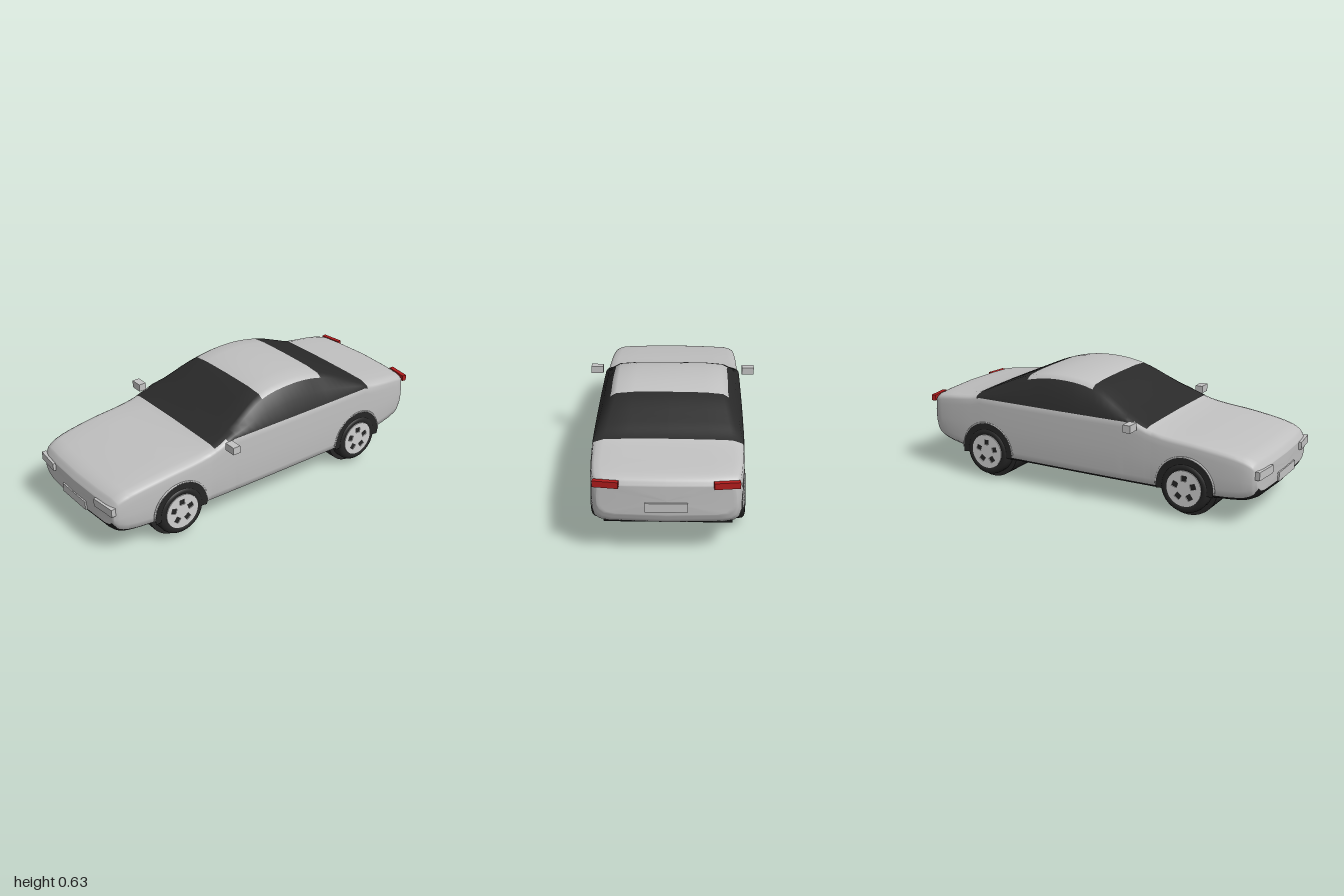
import * as THREE from 'three';

const mat = (name, color, extra = {}) => {
  const m = new THREE.MeshStandardMaterial({ color, ...extra });
  m.name = name;
  return m;
};

// Body stations: z, top height, half width, bottom height
const STATIONS = [
  [-0.99, 0.395, 0.325, 0.24], [-0.975, 0.42, 0.342, 0.205], [-0.93, 0.437, 0.355, 0.175],
  [-0.77, 0.458, 0.368, 0.145], [-0.66, 0.478, 0.372, 0.125], [-0.557, 0.524, 0.374, 0.115],
  [-0.37, 0.6, 0.376, 0.115], [-0.18, 0.626, 0.377, 0.115], [0.03, 0.6, 0.377, 0.115],
  [0.247, 0.492, 0.376, 0.115], [0.41, 0.428, 0.374, 0.115], [0.675, 0.396, 0.37, 0.115],
  [0.89, 0.362, 0.357, 0.125], [0.96, 0.335, 0.345, 0.145], [0.985, 0.3, 0.33, 0.18],
];

// Smooth curve through column c of the stations
function sample(z, c) {
  const P = STATIONS, last = P.length - 1;
  let i = 0;
  while (i < last - 1 && z > P[i + 1][0]) i++;
  const slope = (k) => {
    const a = P[Math.max(k - 1, 0)], b = P[Math.min(k + 1, last)];
    return (b[c] - a[c]) / (b[0] - a[0]);
  };
  const h = P[i + 1][0] - P[i][0], t = (z - P[i][0]) / h, t2 = t * t, t3 = t2 * t;
  return (2 * t3 - 3 * t2 + 1) * P[i][c] + (t3 - 2 * t2 + t) * h * slope(i)
    + (3 * t2 - 2 * t3) * P[i + 1][c] + (t3 - t2) * h * slope(i + 1);
}

// Half cross-section, from bottom centre up the +x side to top centre
function section(z) {
  const T = sample(z, 1), W = sample(z, 2), B = sample(z, 3);
  const k = THREE.MathUtils.clamp((T - 0.45) / 0.16, 0, 1);
  const belt = Math.min(0.45, T - 0.035), H = belt - B;
  const E = W - 0.02 - 0.06 * k, edge = T - 0.012 - 0.018 * k;
  return [
    [0, B], [W - 0.08, B], [W - 0.035, B + 0.007], [W - 0.012, B + 0.025],
    [W - 0.002, B + Math.min(0.06, 0.35 * H)], [W, B + 0.55 * H],
    [W, belt - Math.min(0.03, 0.25 * H)], [W - 0.004, belt],
    [(W + E) / 2 + 0.004, (belt + edge) / 2 + 0.003], [E, edge],
    [E - 0.03, T - 0.004 - 0.007 * k], [E * 0.6, T - 0.002], [0, T],
  ];
}

function bodyGeometry() {
  const breaks = [...STATIONS.map((s) => s[0]), 0.375, 0.3].sort((a, b) => a - b);
  const zs = [];
  for (let i = 0; i < breaks.length - 1; i++)
    for (let s = 0; s < 5; s++) zs.push(THREE.MathUtils.lerp(breaks[i], breaks[i + 1], s / 5));
  zs.push(breaks[breaks.length - 1]);

  const ringAt = (z, scale = 1) => {
    const half = section(z);
    const mirror = half.slice(1, -1).reverse().map(([x, y]) => [-x, y]);
    const cy = (half[0][1] + half[half.length - 1][1]) / 2;
    return half.concat(mirror).map(([x, y]) => {
      const px = x * scale;
      // bow both ends in plan
      const bow = 0.2 * px * px * THREE.MathUtils.smoothstep(Math.abs(z), 0.8, 0.98);
      return [px, cy + (y - cy) * scale, z - Math.sign(z) * bow];
    });
  };
  const first = zs[0], last = zs[zs.length - 1];
  const caps = [0, 0.5, 0.95];
  const rings = [...caps.map((s) => ringAt(first, s)), ...zs.map((z) => ringAt(z)),
    ...caps.slice().reverse().map((s) => ringAt(last, s))];
  const rowZ = [...caps.map(() => first), ...zs, ...caps.map(() => last)];

  const n = rings[0].length, half = n / 2;
  const faces = [[], [], []]; // paint, glass, underside
  for (let i = 0; i < rings.length - 1; i++) {
    const z = (rowZ[i] + rowZ[i + 1]) / 2;
    const cap = rowZ[i] === rowZ[i + 1];
    for (let j = 0; j < n; j++) {
      const seg = j < half ? j : n - 1 - j;
      let m = 0;
      if (seg < 3 && z > -0.77 && !cap) m = 2;
      else if (seg >= 9 && z > -0.66 && z < 0.375) m = z > -0.37 && z < 0.03 ? 0 : 1;
      else if ((seg === 7 || seg === 8) && z > -0.66 && z < 0.3) m = 1;
      const a = i * n + j, b = i * n + (j + 1) % n;
      faces[m].push(a, b, b + n, a, b + n, a + n);
    }
  }
  const g = new THREE.BufferGeometry();
  g.setAttribute('position', new THREE.Float32BufferAttribute(rings.flat(2), 3));
  g.setIndex(faces.flat());
  let start = 0;
  faces.forEach((f, m) => { g.addGroup(start, f.length, m); start += f.length; });
  g.computeVertexNormals();
  return g;
}

export function createModel() {
  const car = new THREE.Group();
  car.name = 'car';
  const paint = mat('silver paint', 0xc0c0c0);
  const glass = mat('dark glass', 0x2a2a2a);
  const under = mat('black underside', 0x1e1e1e);
  const rubber = mat('tyre rubber', 0x262626, { side: THREE.DoubleSide });
  const alloy = mat('alloy', 0xd0d0d0);
  const red = mat('red lamp', 0xb01c1c);
  const lamp = mat('lamp and plate grey', 0xc4c4c4);

  const add = (name, geo, material, x = 0, y = 0, z = 0, parent = car) => {
    const m = new THREE.Mesh(geo, material);
    m.name = name;
    m.position.set(x, y, z);
    parent.add(m);
    return m;
  };

  add('body', bodyGeometry(), [paint, glass, under]);

  // Wheels: a wide roller across the car with a tyre, rim and arch at each end
  const R = 0.157;
  const tyreProfile = [[0.132, 0.3], [0.133, 0.355], [0.13, 0.368], [0.122, 0.377],
    [0.11, 0.381], [0.098, 0.38], [0.094, 0.375], [0, 0.375]]
    .map(([r, h]) => new THREE.Vector2(r, h));
  const tyreGeo = new THREE.LatheGeometry(tyreProfile, 48).rotateZ(-Math.PI / 2);
  const rimShape = new THREE.Shape().absarc(0, 0, 0.094, 0, Math.PI * 2);
  for (let i = 0; i < 5; i++) {
    const a = Math.PI / 2 + i * Math.PI * 2 / 5, hole = new THREE.Path();
    for (let k = 0; k < 4; k++) {
      const b = a + Math.PI / 4 + k * Math.PI / 2;
      const px = 0.052 * Math.cos(a) + 0.02 * Math.cos(b);
      const py = 0.052 * Math.sin(a) + 0.02 * Math.sin(b);
      if (k) hole.lineTo(px, py); else hole.moveTo(px, py);
    }
    hole.closePath();
    rimShape.holes.push(hole);
  }
  const rimGeo = new THREE.ExtrudeGeometry(rimShape, { depth: 0.005, bevelEnabled: false, curveSegments: 32 })
    .rotateY(Math.PI / 2);
  const archGeo = new THREE.CircleGeometry(R, 32, -0.15, Math.PI + 0.3).rotateY(Math.PI / 2);
  const lipGeo = new THREE.TorusGeometry(R + 0.003, 0.005, 6, 32, Math.PI).rotateY(Math.PI / 2);
  const rollerGeo = new THREE.CylinderGeometry(R, R, 0.64, 48).rotateZ(Math.PI / 2);

  for (const [label, z] of [['front', 0.595], ['rear', -0.592]]) {
    add(label + 'Roller', rollerGeo, rubber, 0, R, z);
    for (const side of [1, -1]) {
      const wheel = new THREE.Group();
      wheel.name = label + (side > 0 ? 'Left' : 'Right') + 'Wheel';
      wheel.position.set(0, R, z);
      if (side < 0) wheel.rotation.y = Math.PI;
      add('tyre', tyreGeo, rubber, 0, 0, 0, wheel);
      add('rim', rimGeo, alloy, 0.3765, 0, 0, wheel);
      add('wheelArch', archGeo, rubber, 0.3755, 0, 0, wheel);
      add('archLip', lipGeo, paint, 0.371, 0, 0, wheel);
      car.add(wheel);
    }
  }

  // Lamps and mirrors on both sides
  for (const s of [1, -1]) {
    const side = s > 0 ? 'left' : 'right';
    add(side + 'Headlamp', new THREE.BoxGeometry(0.143, 0.042, 0.024), lamp, s * 0.27, 0.274, 0.972)
      .rotation.y = s * 0.1;
    add(side + 'TailLamp', new THREE.BoxGeometry(0.122, 0.032, 0.024), red, s * 0.282, 0.4, -0.979)
      .rotation.y = -s * 0.13;
    add(side + 'Mirror', new THREE.BoxGeometry(0.067, 0.04, 0.042), lamp, s * 0.425, 0.443, 0.314);
  }

  // Number plates, left blank
  add('frontPlate', new THREE.BoxGeometry(0.22, 0.046, 0.009), lamp, 0, 0.203, 0.986);
  add('rearPlate', new THREE.BoxGeometry(0.2, 0.046, 0.009), lamp, 0, 0.285, -0.993);
  return car;
}
